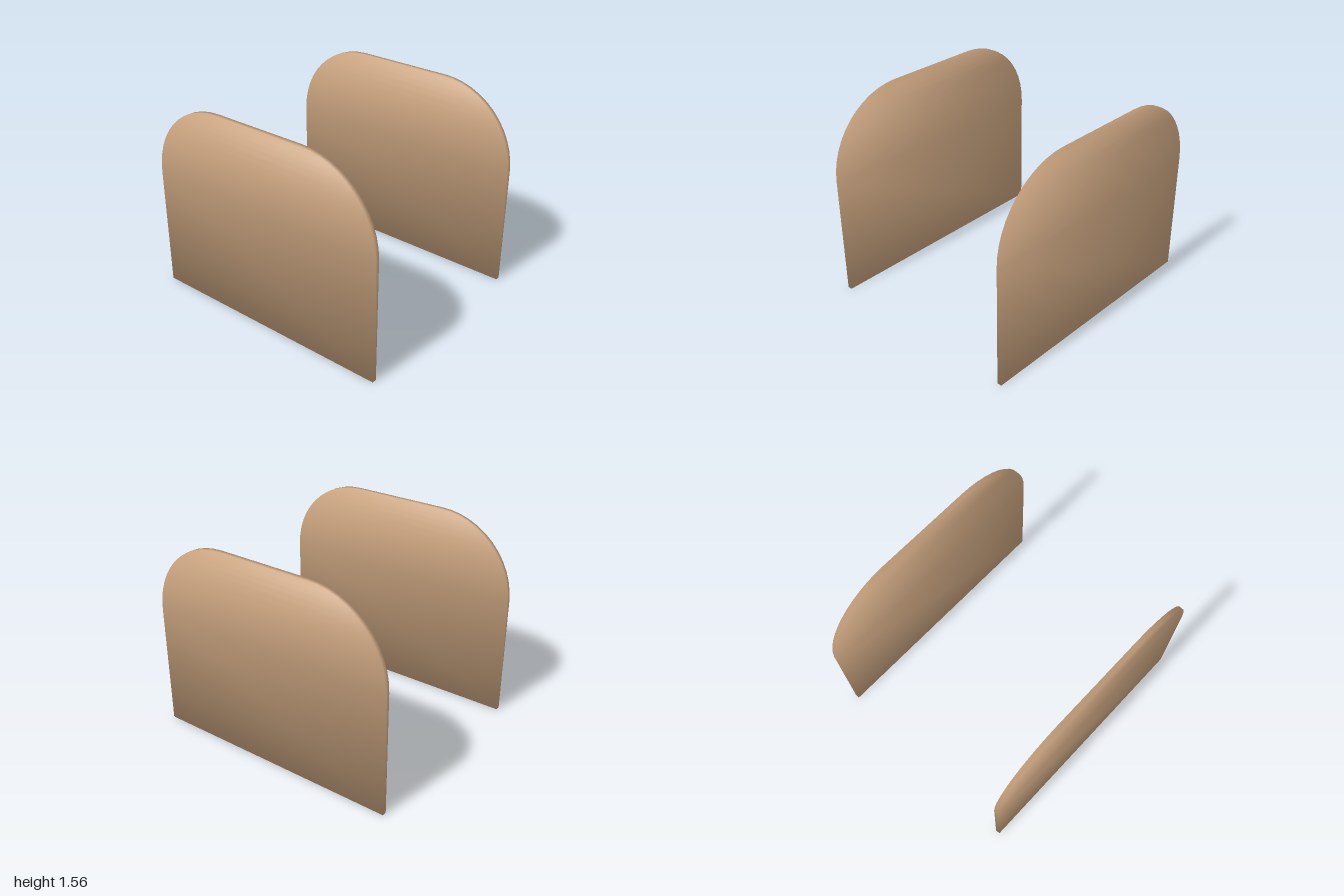
import * as THREE from 'three';

const HEIGHT = 1.56, HALF_WIDTH = 0.993, RADIUS = 0.615, HALF_THICK = 0.0175, STEPS = 12;

// Round-topped board, stacked from rows of four corners, with soft normals at the rim
function boardGeometry() {
  const rows = [{ y: 0, w: HALF_WIDTH, ny: -1, nz: 1 }];
  for (let i = 0; i <= STEPS; i++) {
    const a = (i / STEPS) * Math.PI / 2;
    rows.push({
      y: HEIGHT - RADIUS + RADIUS * Math.sin(a),
      w: HALF_WIDTH - RADIUS + RADIUS * Math.cos(a),
      ny: Math.sin(a), nz: Math.cos(a),
    });
  }
  const corners = [[1, 1], [1, -1], [-1, -1], [-1, 1]];
  const positions = [], normals = [], index = [];
  for (const r of rows) {
    for (const [sx, sz] of corners) {
      positions.push(sx * HALF_THICK, r.y, sz * r.w);
      const n = new THREE.Vector3(sx, r.ny, sz * r.nz).normalize();
      normals.push(n.x, n.y, n.z);
    }
  }
  for (let i = 0; i < rows.length - 1; i++) {
    for (let j = 0; j < 4; j++) {
      const a = i * 4 + j, b = i * 4 + (j + 1) % 4;
      index.push(a, b, a + 4, b, b + 4, a + 4);
    }
  }
  // flat top and bottom edges
  const t = (rows.length - 1) * 4;
  index.push(t, t + 1, t + 2, t, t + 2, t + 3);
  index.push(0, 2, 1, 0, 3, 2);

  const geo = new THREE.BufferGeometry();
  geo.setAttribute('position', new THREE.Float32BufferAttribute(positions, 3));
  geo.setAttribute('normal', new THREE.Float32BufferAttribute(normals, 3));
  geo.setIndex(index);
  return geo;
}

export function createModel() {
  const group = new THREE.Group();
  const wood = new THREE.MeshStandardMaterial({ color: 0xc8a27e });
  const geo = boardGeometry();

  const right = new THREE.Mesh(geo, wood);
  right.name = 'rightEndBoard';
  right.position.set(-0.812, 0, -0.007);

  // the left board leans and turns very slightly
  const left = new THREE.Mesh(geo, wood);
  left.name = 'leftEndBoard';
  left.position.set(0.797, 0, 0.006);
  left.rotation.set(0, -0.006, -0.004);

  group.add(right, left);
  return group;
}
